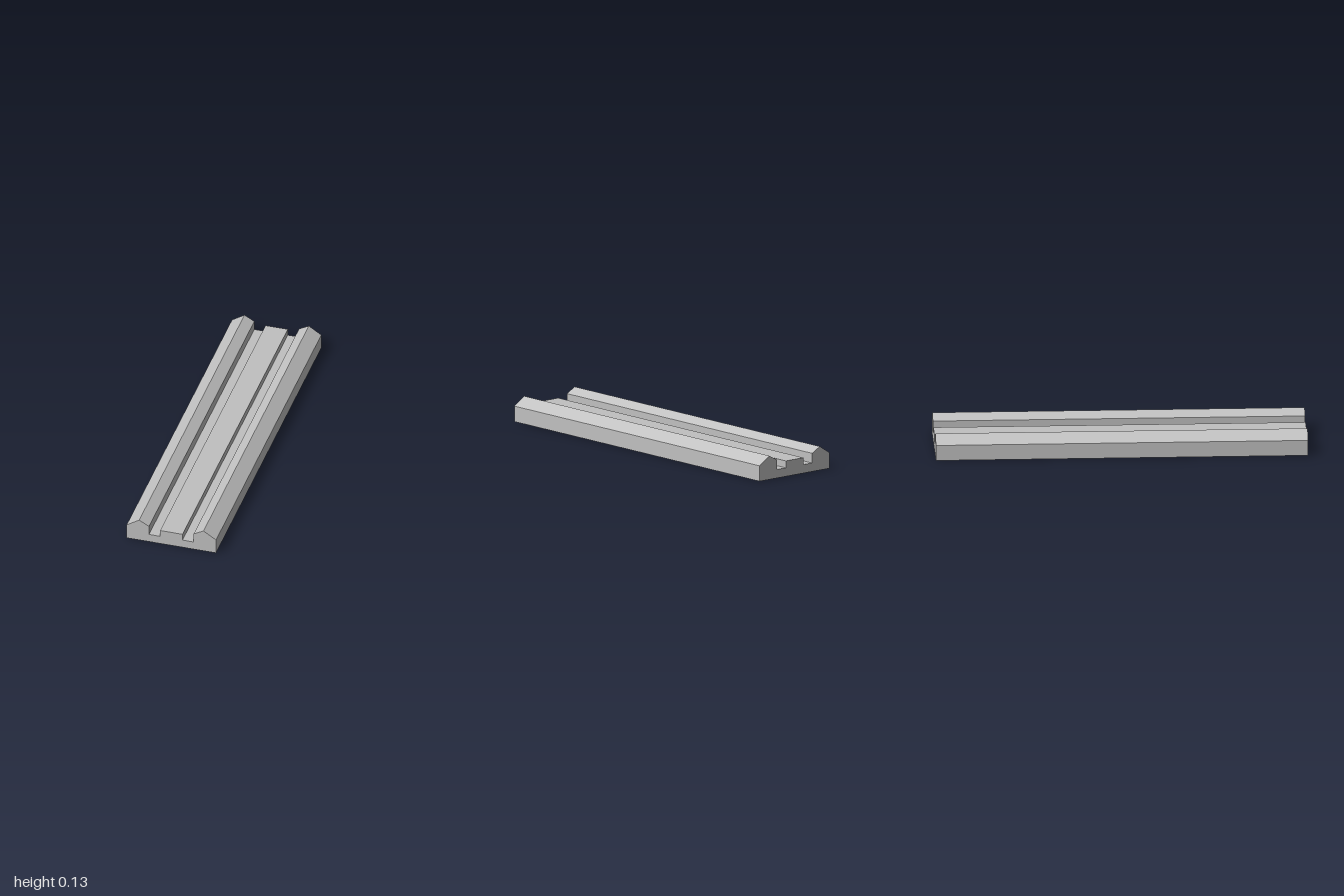
import * as THREE from 'three';

export function createModel() {
  const group = new THREE.Group();
  group.name = 'groovedRail';

  const grey = new THREE.MeshStandardMaterial({ color: 0xc0c0c0 });
  grey.name = 'light grey';

  // Right half of the cross-section, from the centre tread out to the base corner
  const half = [
    [0.0625, 0.085], [0.0625, 0.047], // centre tread and groove floor
    [0.125, 0.047], [0.125, 0.1],     // inner wall of the side ridge
    [0.18, 0.13], [0.25, 0.085],      // ridge peak and outer slope
    [0.25, 0],
  ];
  const mirrored = half.map(([x, y]) => [-x, y]).reverse();
  const profile = [...mirrored, ...half].map(([x, y]) => new THREE.Vector2(x, y));

  // Extruded along z and centred
  const length = 2;
  const geometry = new THREE.ExtrudeGeometry(new THREE.Shape(profile), {
    depth: length,
    bevelEnabled: false,
  });
  geometry.translate(0, 0, -length / 2);

  const rail = new THREE.Mesh(geometry, grey);
  rail.name = 'railBody';
  group.add(rail);
  return group;
}
